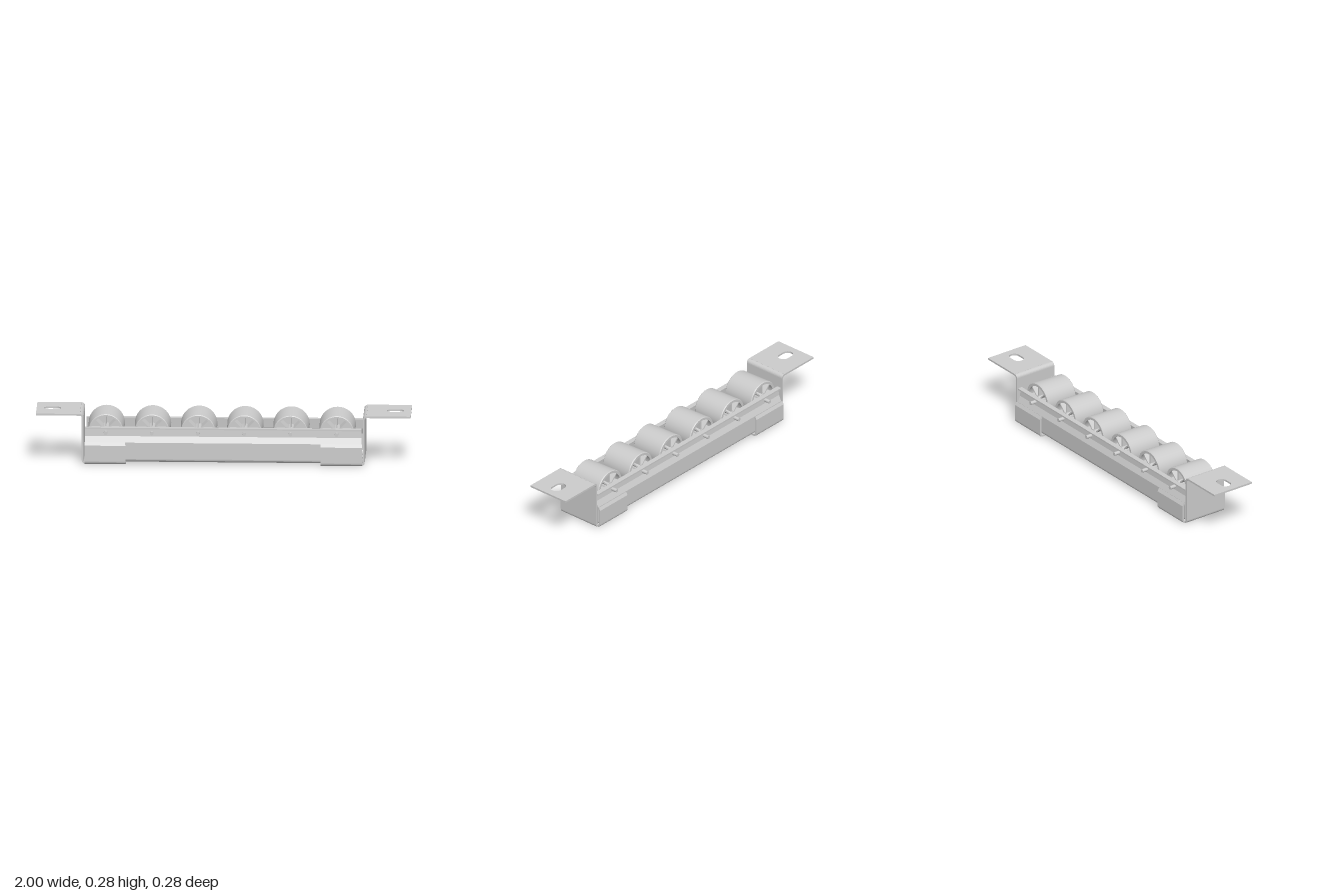
import * as THREE from 'three';

const steel = new THREE.MeshStandardMaterial({ color: 0xcccccc, side: THREE.DoubleSide });
const T = 0.01; // sheet thickness

function add(group, name, geometry) {
  const mesh = new THREE.Mesh(geometry, steel);
  mesh.name = name;
  group.add(mesh);
  return mesh;
}

// Closed outline of a bent sheet, from its centre line
function sheetShape(points, t) {
  const p = points.map(([x, y]) => new THREE.Vector2(x, y));
  const a = [], b = [];
  p.forEach((v, i) => {
    const d1 = p[Math.max(i, 1)].clone().sub(p[Math.max(i, 1) - 1]).normalize();
    const j = Math.min(i, p.length - 2);
    const d2 = p[j + 1].clone().sub(p[j]).normalize();
    const n = new THREE.Vector2(-d1.y - d2.y, d1.x + d2.x).normalize();
    n.multiplyScalar(t / 2 / (n.x * -d1.y + n.y * d1.x));
    a.push(v.clone().add(n));
    b.unshift(v.clone().sub(n));
  });
  return new THREE.Shape([...a, ...b]);
}

// Points of a rounded bend
function bend(cx, cy, r, from, to, n = 6) {
  return Array.from({ length: n + 1 }, (_, i) => {
    const q = from + (to - from) * i / n;
    return [cx + r * Math.cos(q), cy + r * Math.sin(q)];
  });
}

function extrude(shape, depth) {
  const g = new THREE.ExtrudeGeometry(shape, { depth, bevelEnabled: false, curveSegments: 12 });
  return g.translate(0, 0, -depth / 2);
}

// Horizontal plate with a long hole
function slottedPlate(x0, x1, halfZ, topY, slotX) {
  const s = new THREE.Shape();
  s.moveTo(x0, -halfZ).lineTo(x1, -halfZ).lineTo(x1, halfZ).lineTo(x0, halfZ).closePath();
  const hole = new THREE.Path(), r = 0.029, h = 0.017;
  hole.moveTo(slotX - h, -r).lineTo(slotX + h, -r);
  hole.absarc(slotX + h, 0, r, -Math.PI / 2, Math.PI / 2, false);
  hole.lineTo(slotX - h, r);
  hole.absarc(slotX - h, 0, r, Math.PI / 2, Math.PI * 1.5, false);
  s.holes.push(hole);
  return extrude(s, T).rotateX(Math.PI / 2).translate(0, topY - T / 2, 0);
}

function createBracket() {
  const g = new THREE.Group();
  add(g, 'mountingFlange', slottedPlate(0.765, 1, 0.125, 0.275, 0.915));
  add(g, 'cradleFloor', slottedPlate(0.52, 0.736, 0.125, T, 0.63));
  // Upright end plate with its two bends
  const upright = [
    ...bend(0.765, 0.255, 0.015, Math.PI / 2, Math.PI),
    ...bend(0.735, 0.02, 0.015, 0, -Math.PI / 2),
  ];
  add(g, 'endPlate', extrude(sheetShape(upright, T), 0.25));
  // Side tabs that hug the channel
  const tab = [[0.118, 0.005], ...bend(0.122, 0.02, 0.015, -Math.PI / 2, 0),
    [0.137, 0.104], [0.129, 0.12]];
  for (const side of [1, -1]) {
    const geo = extrude(sheetShape(tab.map(([z, y]) => [z * side, y]), T), 0.22);
    add(g, 'sideTab', geo.rotateY(Math.PI / 2).translate(0.63, 0, 0));
  }
  return g;
}

function createRoller() {
  const g = new THREE.Group();
  // Slightly drafted tyre
  const ring = [[0.08, -0.094], [0.093, -0.094], [0.097, -0.09], [0.092, 0.09],
    [0.088, 0.094], [0.08, 0.094], [0.08, -0.094]];
  const lathe = (pts, n) => {
    // Repeated corners keep the edges crisp
    const v = [];
    for (const [x, y] of pts) v.push(new THREE.Vector2(x, y), new THREE.Vector2(x, y));
    return new THREE.LatheGeometry(v.slice(1, -1), n).rotateX(Math.PI / 2);
  };
  add(g, 'tyre', lathe(ring, 48));
  add(g, 'hub', lathe([[0.011, -0.094], [0.026, -0.094], [0.026, 0.094], [0.011, 0.094]], 24));
  // Web and spokes
  const web = new THREE.CylinderGeometry(0.081, 0.081, 0.008, 32).rotateX(Math.PI / 2);
  add(g, 'web', web);
  for (let i = 0; i < 8; i++) {
    const spoke = new THREE.BoxGeometry(0.058, 0.007, 0.176).translate(0.053, 0, 0);
    add(g, 'spoke', spoke.rotateZ(i * Math.PI / 4));
  }
  return g;
}

export function createModel() {
  const model = new THREE.Group();
  model.name = 'rollerTrack';

  // Channel with waisted sides and turned-out rims
  const half = [...bend(0.106, 0.03, 0.015, -Math.PI / 2, 0), [0.121, 0.118],
    [0.106, 0.15], [0.102, 0.196], [0.125, 0.196]];
  const profile = [...half.map(([z, y]) => [-z, y]).reverse(), ...half];
  add(model, 'channel', extrude(sheetShape(profile, 0.008), 1.476).rotateY(Math.PI / 2));

  // Rollers on their axles
  for (let i = 0; i < 6; i++) {
    const x = -0.628 + i * 0.2465;
    const roller = createRoller();
    roller.name = 'roller';
    roller.position.set(x, 0.174, 0);
    model.add(roller);
    const axle = new THREE.CylinderGeometry(0.01, 0.01, 0.266, 16).rotateX(Math.PI / 2);
    add(model, 'axle', axle).position.set(x, 0.17, -0.009);
  }

  // End brackets
  for (const turn of [0, Math.PI]) {
    const bracket = createBracket();
    bracket.name = turn ? 'rightBracket' : 'leftBracket';
    bracket.rotation.y = turn;
    model.add(bracket);
  }
  return model;
}
